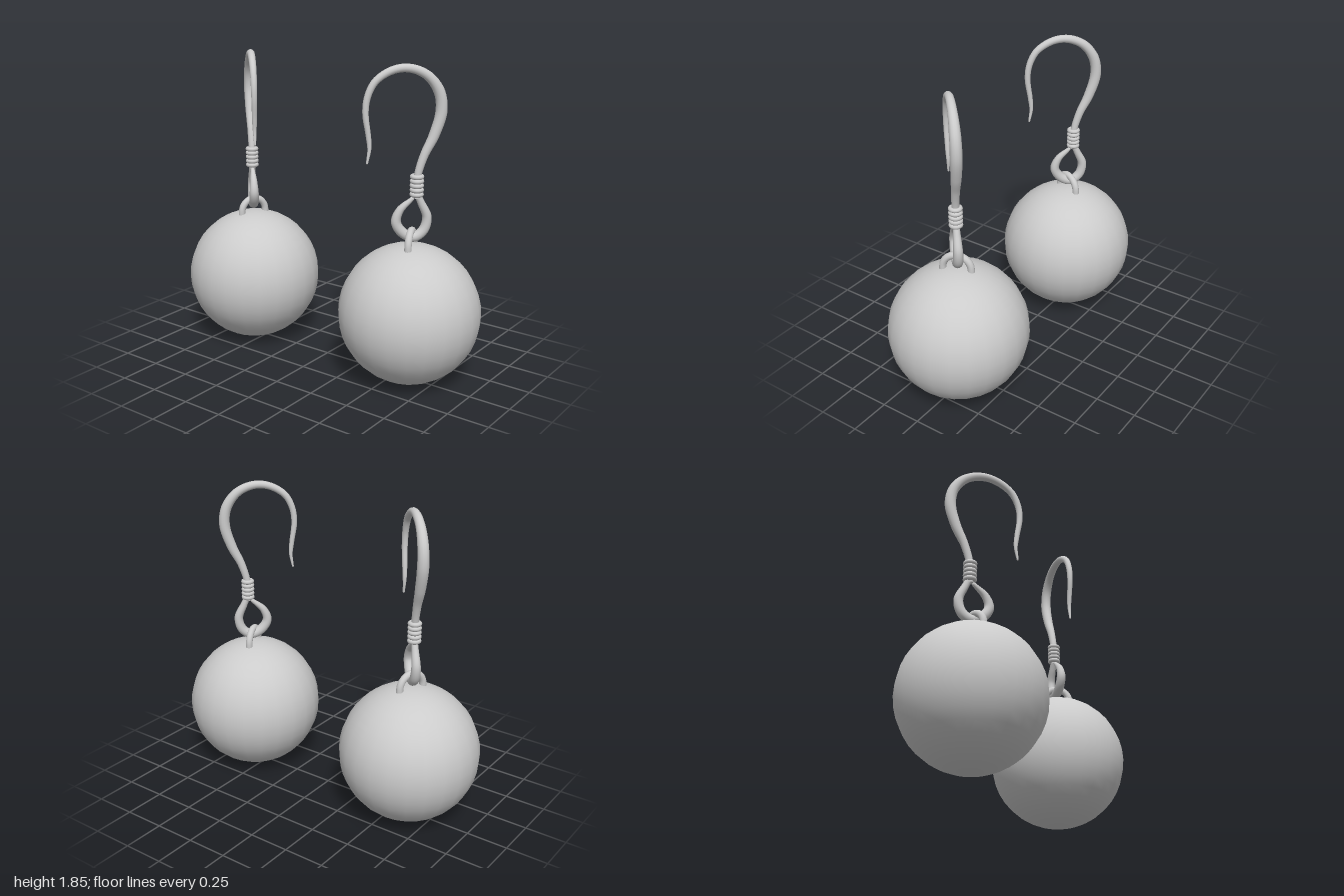
import * as THREE from 'three';

const mat = new THREE.MeshStandardMaterial({ color: 0xcccccc });

function part(name, geometry) {
  const m = new THREE.Mesh(geometry, mat);
  m.name = name;
  return m;
}

// Round wire through [u, y] points, its radius interpolated along a list
function taperedWire(points, radii, segments = 64, sides = 14) {
  const curve = new THREE.CatmullRomCurve3(points.map(([u, y]) => new THREE.Vector3(u, y, 0)));
  const geo = new THREE.TubeGeometry(curve, segments, 1, sides, false);
  const pos = geo.attributes.position;
  const v = new THREE.Vector3();
  for (let i = 0; i <= segments; i++) {
    const t = i / segments;
    const c = curve.getPointAt(t);
    const f = t * (radii.length - 1);
    const k = Math.min(Math.floor(f), radii.length - 2);
    const r = THREE.MathUtils.lerp(radii[k], radii[k + 1], f - k);
    for (let j = 0; j <= sides; j++) {
      const n = i * (sides + 1) + j;
      v.fromBufferAttribute(pos, n).sub(c).multiplyScalar(r).add(c);
      pos.setXYZ(n, v.x, v.y, v.z);
    }
  }
  return geo;
}

function endCap(name, [u, y], r) {
  const m = part(name, new THREE.SphereGeometry(r, 12, 8));
  m.position.set(u, y, 0);
  return m;
}

// side: +1 or -1, which mirrors the hook and bail directions
function earring(side) {
  const g = new THREE.Group();
  g.name = side > 0 ? 'leftEarring' : 'rightEarring';
  g.position.x = side * 0.587;

  const ball = part('ball', new THREE.SphereGeometry(0.413, 24, 20));
  ball.position.y = 0.413;
  g.add(ball);

  // Staple-shaped bail on top of the ball
  const R = 0.083;
  const bailPath = [new THREE.Vector3(R, 0.77, 0)];
  for (let i = 0; i <= 12; i++) {
    const a = (i / 12) * Math.PI;
    bailPath.push(new THREE.Vector3(R * Math.cos(a), 0.825 + R * Math.sin(a), 0));
  }
  bailPath.push(new THREE.Vector3(-R, 0.77, 0));
  const bail = part('bail', new THREE.TubeGeometry(new THREE.CatmullRomCurve3(bailPath), 36, 0.021, 12));
  bail.rotation.y = side > 0 ? -1.21 : 1.21;
  g.add(bail);

  // Hook assembly lies in one vertical plane turned 45 degrees
  const hook = new THREE.Group();
  hook.name = 'hookAssembly';
  hook.rotation.y = side > 0 ? -Math.PI * 0.75 : -Math.PI * 0.25;

  const hookPts = [
    [-0.025, 1.10], [-0.028, 1.22], [-0.062, 1.34], [-0.114, 1.45], [-0.153, 1.586],
    [-0.14, 1.69], [-0.085, 1.772], [-0.014, 1.815], [0.066, 1.828], [0.146, 1.808],
    [0.22, 1.755], [0.26, 1.674], [0.27, 1.586], [0.253, 1.463], [0.246, 1.39], [0.258, 1.308],
  ];
  hook.add(part('earHook', taperedWire(hookPts,
    [0.021, 0.021, 0.024, 0.03, 0.033, 0.031, 0.026, 0.023, 0.021, 0.019, 0.017, 0.014, 0.006], 96)));
  hook.add(endCap('hookTip', hookPts.at(-1), 0.006));

  const loopPts = [
    [-0.026, 1.13], [-0.054, 1.07], [-0.089, 0.985], [-0.069, 0.909], [-0.014, 0.872],
    [0.05, 0.9], [0.089, 0.963], [0.069, 1.03], [0.0, 1.095],
  ];
  hook.add(part('lowerLoop', taperedWire(loopPts, [0.018, 0.022, 0.027, 0.029, 0.029, 0.03, 0.028, 0.021, 0.012])));
  hook.add(endCap('loopTip', loopPts.at(-1), 0.012));

  // Coiled wire binding around the neck
  for (let i = 0; i < 5; i++) {
    const ring = part('neckWrap', new THREE.TorusGeometry(0.027, 0.0135, 10, 24));
    ring.rotation.x = Math.PI / 2;
    ring.position.set(-0.026, 1.121 + i * 0.0255, 0);
    hook.add(ring);
  }
  g.add(hook);
  return g;
}

export function createModel() {
  const model = new THREE.Group();
  model.name = 'earrings';
  model.add(earring(1), earring(-1));
  return model;
}
